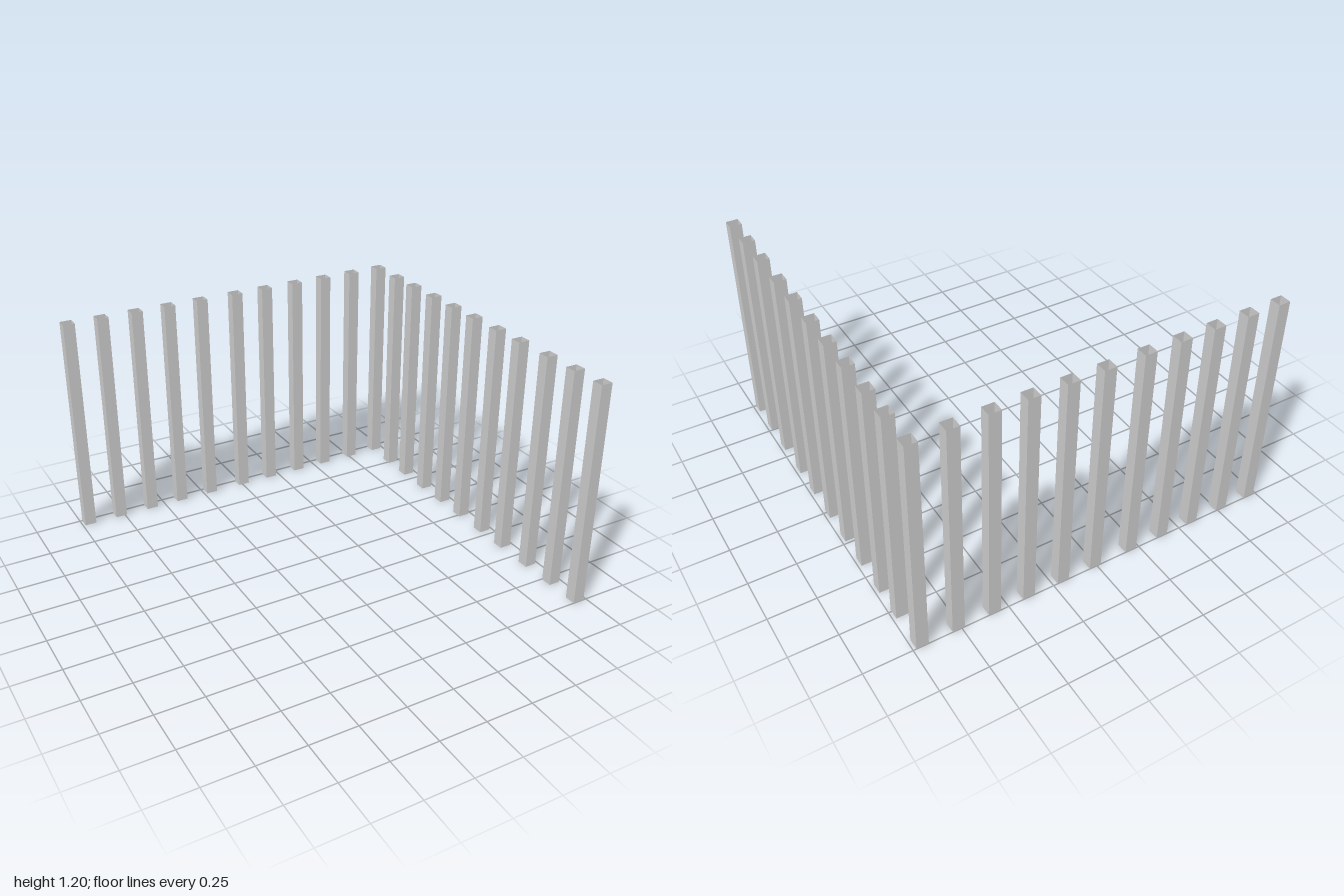
import * as THREE from 'three';

const HEIGHT = 1.204, WIDTH_X = 0.063, WIDTH_Z = 0.06;
const CORNER_X = 0.952, CORNER_Z = -0.97;

// Post centres along each row; the spacing is slightly irregular
const BACK_ROW_X = [-0.955, -0.771, -0.58, -0.393, -0.202, 0.01, 0.195, 0.388, 0.574, 0.766];
const SIDE_ROW_Z = [0.97, 0.783, 0.587, 0.371, 0.184, -0.015, -0.204, -0.392, -0.59, -0.769];

export function createModel() {
  const group = new THREE.Group();
  group.name = 'postRows';
  const material = new THREE.MeshStandardMaterial({
    color: 0xcccccc, flatShading: true, side: THREE.DoubleSide,
  });

  // Hollow square post: four side walls, open at top and bottom
  const geometry = new THREE.CylinderGeometry(Math.SQRT1_2, Math.SQRT1_2, 1, 4, 1, true);
  geometry.rotateY(Math.PI / 4);
  geometry.scale(WIDTH_X, HEIGHT, WIDTH_Z);
  geometry.translate(0, HEIGHT / 2, 0);

  const addPost = (name, x, z) => {
    const post = new THREE.Mesh(geometry, material);
    post.name = name;
    post.position.set(x, 0, z);
    group.add(post);
  };

  // Two rows at a right angle, sharing the corner post
  addPost('cornerPost', CORNER_X, CORNER_Z);
  BACK_ROW_X.forEach((x, i) => addPost(`backPost${i + 1}`, x, CORNER_Z));
  SIDE_ROW_Z.forEach((z, i) => addPost(`sidePost${i + 1}`, CORNER_X, z));
  return group;
}
